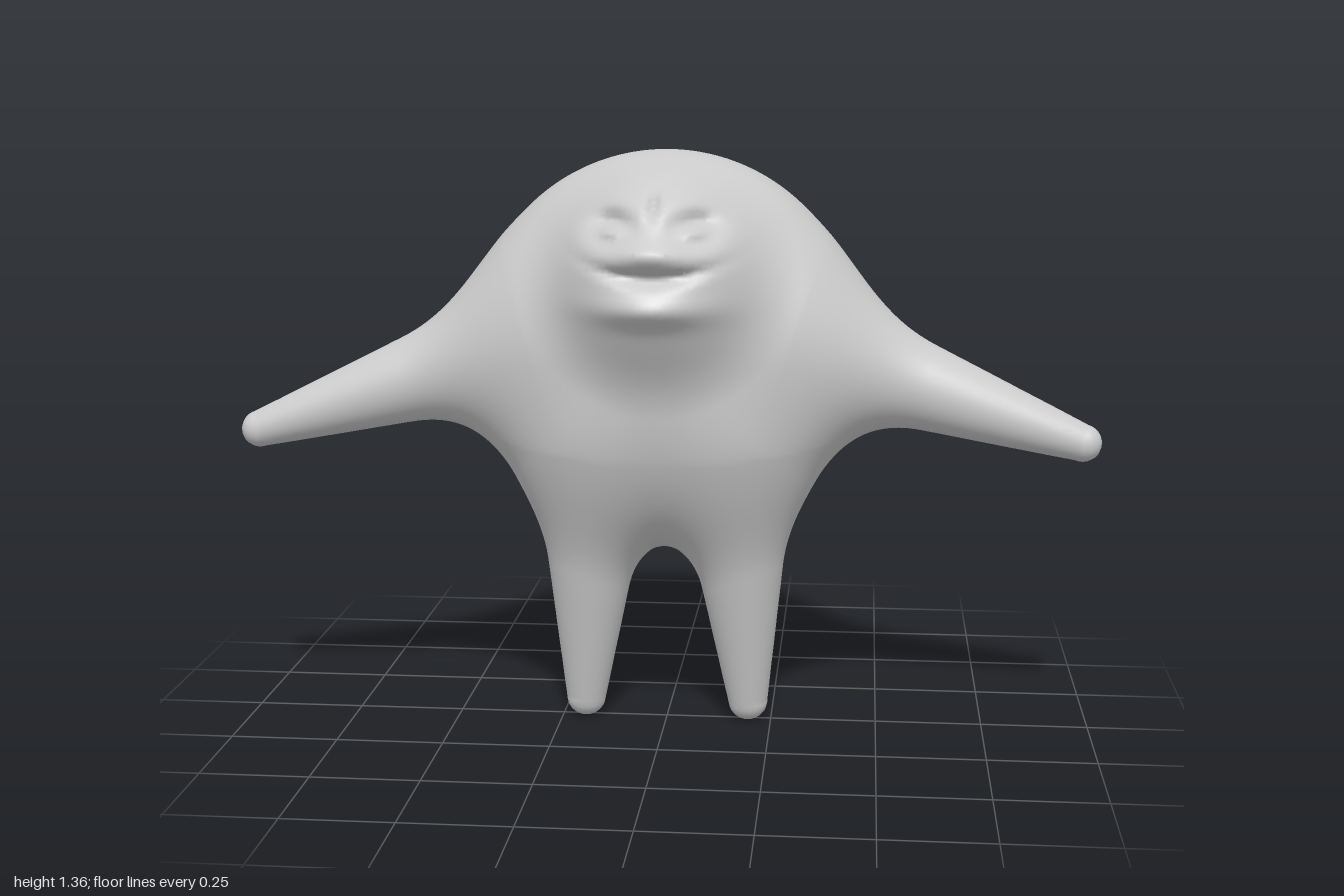
import * as THREE from 'three';

const { hypot, abs, min, max, exp } = Math;

// Smooth union of two distances, blended over width k
const blend = (a, b, k) => {
  const h = max(k - abs(a - b), 0) / k;
  return min(a, b) - h * h * k / 4;
};

// Ball with separate radii
function ellipsoid(x, y, z, rx, ry, rz) {
  const k0 = hypot(x / rx, y / ry, z / rz);
  const k1 = hypot(x / rx ** 2, y / ry ** 2, z / rz ** 2);
  return k1 < 1e-6 ? -min(rx, ry, rz) : k0 * (k0 - 1) / k1;
}

// Tapered round limb from tip a (radius r0) to root b (radius r1)
function limb(x, y, z, a, b, r0, r1) {
  const dx = b[0] - a[0], dy = b[1] - a[1], dz = b[2] - a[2];
  const px = x - a[0], py = y - a[1], pz = z - a[2];
  const t = min(1, max(0, (px * dx + py * dy + pz * dz) / (dx * dx + dy * dy + dz * dz)));
  return hypot(px - dx * t, py - dy * t, pz - dz * t) - (r0 + (r1 - r0) * t);
}

const bump = (x, y, sx, sy) => exp(-((x / sx) ** 2 + (y / sy) ** 2));

// Height of the facial features over the muzzle
function faceRelief(x, y) {
  const ex = abs(x) - 0.088;
  return 0.026 * bump(x, y - 1.155, 0.075, 0.026)              // upper lip
    + 0.03 * bump(x, y - 1.035, 0.11, 0.035)                   // lower lip and chin
    - 0.034 * bump(x, y - 1.102 - 1.2 * x * x, 0.095, 0.017)   // smiling mouth
    - 0.036 * bump(ex, y - 1.205, 0.05, 0.034)                 // eye sockets
    + 0.026 * bump(ex, y - 1.197, 0.032, 0.016)                // closed lids
    - 0.014 * bump(x, y - 1.25, 0.014, 0.03);                  // crease between the eyes
}

const ARM = [[0.957, 0.703, 0.072], [0.3, 0.92, 0.03]];
const LEG = [[0.195, 0.048, 0.005], [0.16, 0.7, 0.07]];

// Signed distance to the whole figure
function figure(x, y, z) {
  const ax = abs(x), bz = z - 0.015;
  // round back, flatter chest
  let d = ellipsoid(x, y - 0.905, bz, 0.453, 0.453, bz > 0 ? 0.29 : 0.45);
  const legs = blend(limb(x, y, z, ...LEG, 0.047, 0.15), limb(-x, y, z, ...LEG, 0.047, 0.15), 0.07);
  d = blend(d, legs, 0.13);
  d = blend(d, limb(ax, y, z, ...ARM, 0.043, 0.145), 0.17);
  d = blend(d, ellipsoid(x, y - 1.085, z - 0.2, 0.205, 0.21, 0.21), 0.11);
  if (z > 0.1 && y > 0.85) d -= faceRelief(x, y) * min(1, (z - 0.1) / 0.1);
  return d;
}

function gradient(x, y, z) {
  const e = 0.002;
  return new THREE.Vector3(
    figure(x + e, y, z) - figure(x - e, y, z),
    figure(x, y + e, z) - figure(x, y - e, z),
    figure(x, y, z + e) - figure(x, y, z - e)).divideScalar(2 * e);
}

// Skins a distance field with one vertex per surface cell
function skin(lo, hi, step) {
  const n = lo.map((l, i) => Math.ceil((hi[i] - l) / step) + 1);
  const stride = [1, n[0], n[0] * n[1]];
  const field = new Float32Array(n[0] * n[1] * n[2]);
  const cellVertex = new Int32Array(field.length).fill(-1);
  const positions = [], normals = [], index = [];
  const each = (from, to, fn) => {
    for (let k = from; k < n[2] - to; k++)
      for (let j = from; j < n[1] - to; j++)
        for (let i = from; i < n[0] - to; i++) fn(i, j, k, i + j * stride[1] + k * stride[2]);
  };
  each(0, 0, (i, j, k, id) => {
    field[id] = figure(lo[0] + i * step, lo[1] + j * step, lo[2] + k * step);
  });

  // vertices, pulled exactly onto the surface
  each(0, 1, (i, j, k, id) => {
    let inside = 0, count = 0;
    const sum = [0, 0, 0];
    for (let c = 0; c < 8; c++) {
      const o = [c & 1, (c >> 1) & 1, c >> 2];
      const at = id + o[0] + o[1] * stride[1] + o[2] * stride[2];
      if (field[at] < 0) inside++;
      for (let a = 0; a < 3; a++) {
        if (o[a]) continue;
        const f0 = field[at], f1 = field[at + stride[a]];
        if ((f0 < 0) === (f1 < 0)) continue;
        for (let b = 0; b < 3; b++) sum[b] += o[b] + (a === b ? f0 / (f0 - f1) : 0);
        count++;
      }
    }
    if (inside === 0 || inside === 8) return;
    const p = new THREE.Vector3(i + sum[0] / count, j + sum[1] / count, k + sum[2] / count)
      .multiplyScalar(step).add(new THREE.Vector3(...lo));
    for (let s = 0; s < 2; s++) {
      const g = gradient(p.x, p.y, p.z);
      p.addScaledVector(g, -figure(p.x, p.y, p.z) / max(g.lengthSq(), 0.25));
    }
    cellVertex[id] = positions.length / 3;
    positions.push(p.x, p.y, p.z);
    normals.push(...gradient(p.x, p.y, p.z).normalize().toArray());
  });

  // one quad around every grid edge that crosses the surface
  each(1, 1, (i, j, k, id) => {
    for (let a = 0; a < 3; a++) {
      const inside = field[id] < 0;
      if (inside === (field[id + stride[a]] < 0)) continue;
      const u = stride[(a + 1) % 3], v = stride[(a + 2) % 3];
      const q = [id, id - u, id - u - v, id - v].map(c => cellVertex[c]);
      if (!inside) q.reverse();
      index.push(q[0], q[1], q[2], q[0], q[2], q[3]);
    }
  });

  const geometry = new THREE.BufferGeometry();
  geometry.setAttribute('position', new THREE.Float32BufferAttribute(positions, 3));
  geometry.setAttribute('normal', new THREE.Float32BufferAttribute(normals, 3));
  geometry.setIndex(index);
  return geometry;
}

export function createModel() {
  const group = new THREE.Group();
  group.name = 'roundCreature';
  // body, arms, legs and face form one continuous skin
  const body = new THREE.Mesh(
    skin([-1.04, -0.04, -0.48], [1.04, 1.41, 0.5], 0.013),
    new THREE.MeshStandardMaterial({ color: 0xcccccc }));
  body.name = 'body';
  group.add(body);
  return group;
}
